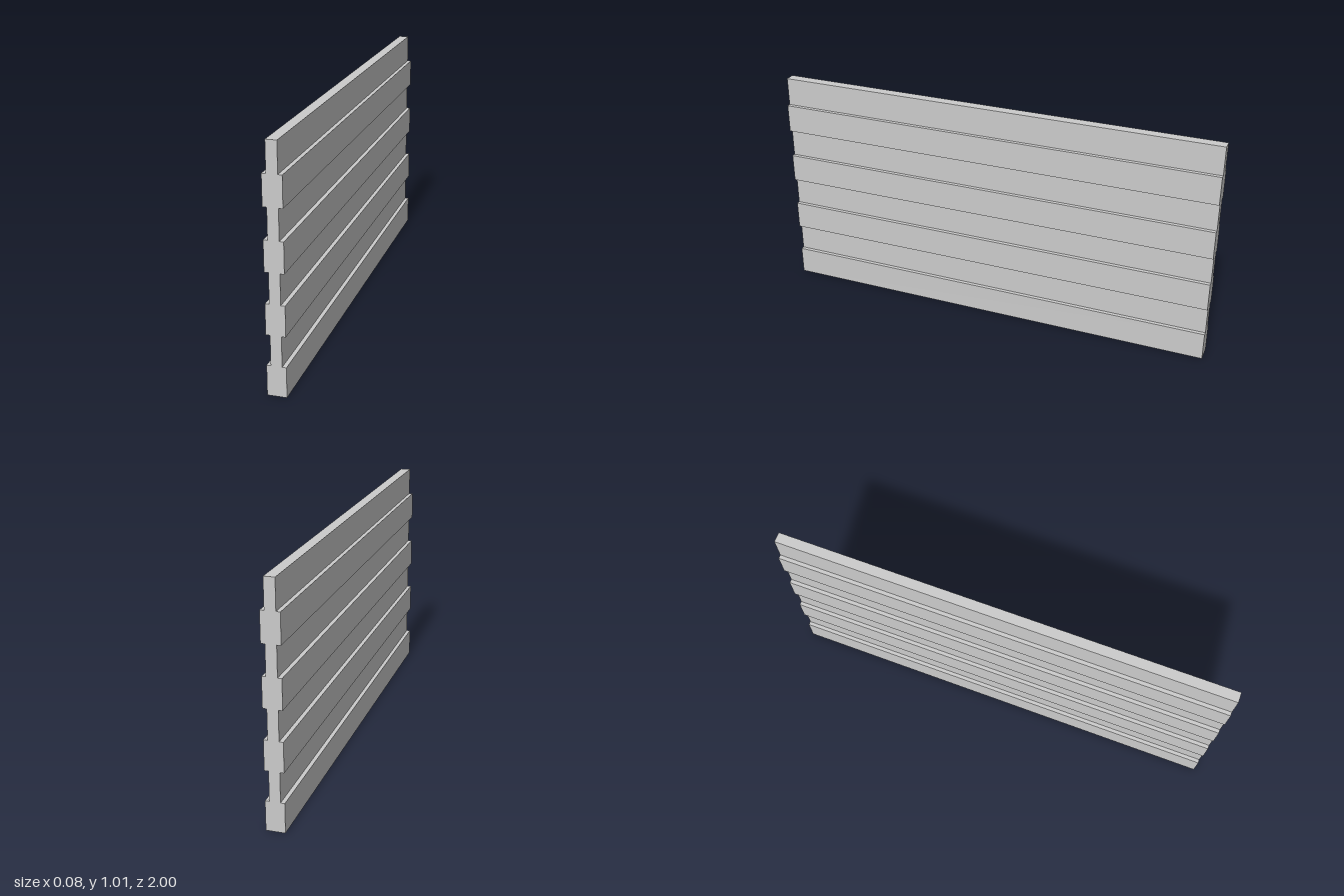
import * as THREE from 'three';

const LENGTH = 2;
const COURSES = 8;
const COURSE_HEIGHT = 0.1265;
const WIDE = 0.0395; // half thickness of the raised boards
const NARROW = 0.0225; // half thickness of the recessed boards

export function createModel() {
  const group = new THREE.Group();
  group.name = 'plankWall';

  // Stepped cross-section: raised and recessed boards alternate upwards
  const rightSide = [];
  for (let i = 0; i < COURSES; i++) {
    const x = i % 2 === 0 ? WIDE : NARROW;
    rightSide.push(
      new THREE.Vector2(x, i * COURSE_HEIGHT),
      new THREE.Vector2(x, (i + 1) * COURSE_HEIGHT)
    );
  }
  const leftSide = rightSide.map((p) => new THREE.Vector2(-p.x, p.y)).reverse();
  const profile = new THREE.Shape([...rightSide, ...leftSide]);

  // The section runs the full length of the wall
  const geometry = new THREE.ExtrudeGeometry(profile, { depth: LENGTH, bevelEnabled: false });
  geometry.translate(0, 0, -LENGTH / 2);

  const wall = new THREE.Mesh(
    geometry,
    new THREE.MeshStandardMaterial({ color: 0xcccccc, flatShading: true })
  );
  wall.name = 'steppedBoards';
  group.add(wall);
  return group;
}
